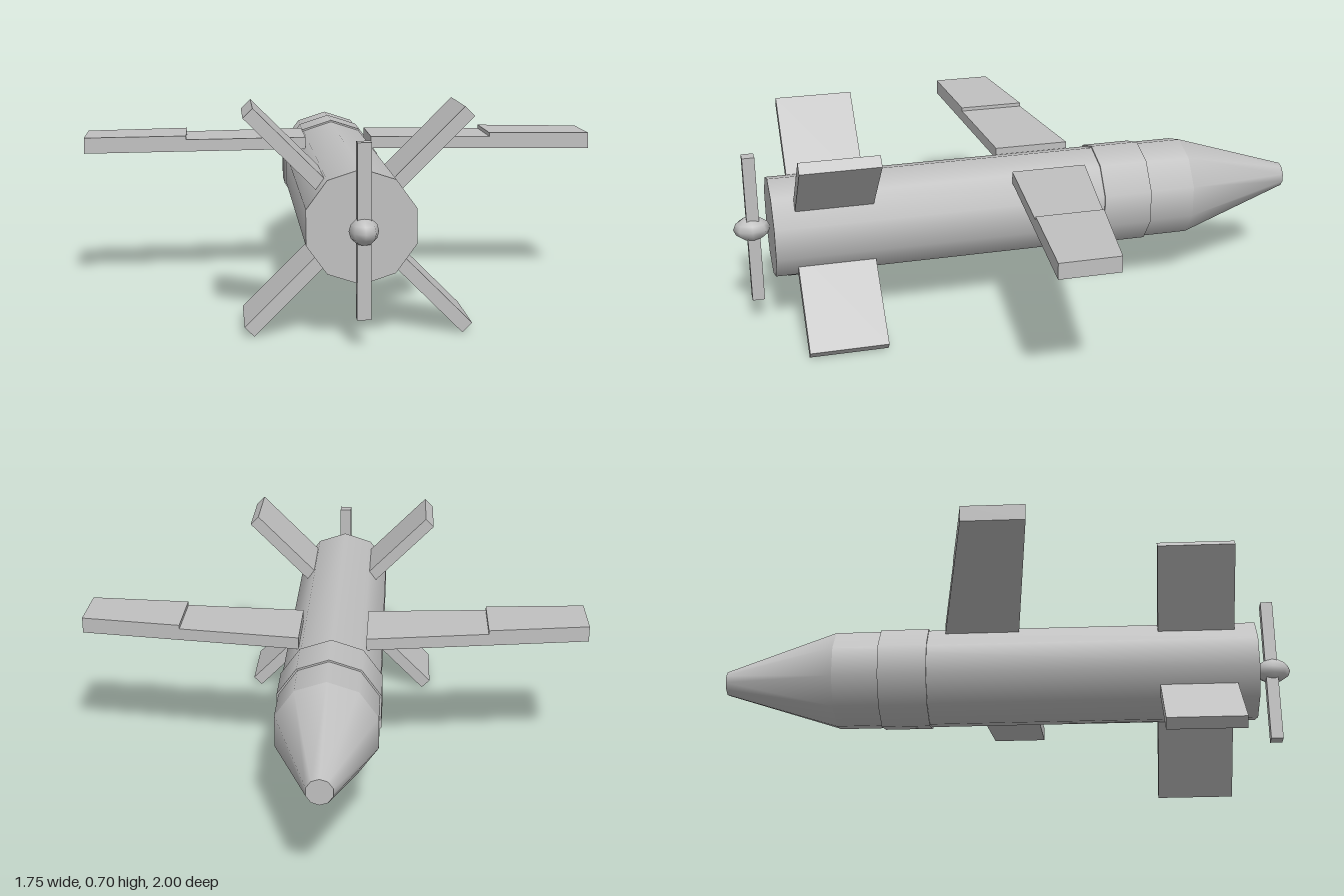
import * as THREE from 'three';

const AXIS_Y = 0.35; // height of the fuselage centreline
const SIDES = 10;

export function createModel() {
  const model = new THREE.Group();
  model.name = 'wingedCraft';
  const grey = new THREE.MeshStandardMaterial({ color: 0xc0c0c0 });
  grey.name = 'plain grey';

  const add = (name, geometry, x = 0, y = 0, z = 0) => {
    const mesh = new THREE.Mesh(geometry, grey);
    mesh.name = name;
    mesh.position.set(x, y, z);
    model.add(mesh);
    return mesh;
  };

  // Ten-sided section along z, smooth around, with capped ends
  const section = (name, zBack, zFront, rBack, rFront) => {
    const g = new THREE.CylinderGeometry(rFront, rBack, zFront - zBack, SIDES);
    g.rotateX(Math.PI / 2);
    return add(name, g, 0, AXIS_Y, (zBack + zFront) / 2);
  };

  // Fuselage
  section('fuselage', -0.6, 0.875, 0.175, 0.175);
  section('fuselageBand', -0.44, -0.27, 0.181, 0.181);
  section('taperedNose', -1, -0.6, 0.043, 0.175);

  // Wing panel: tapered plan between two stations, with flat top and bottom
  const ROOT = 0.115, STEP = 0.53, TIP = 0.877;
  const leading = (x) => THREE.MathUtils.mapLinear(x, ROOT, TIP, -0.21, -0.095);
  const trailing = (x) => THREE.MathUtils.mapLinear(x, ROOT, TIP, 0.05, 0.107);
  const wingPanel = (name, side, x0, x1, thickness) => {
    const plan = new THREE.Shape([
      new THREE.Vector2(side * x0, -leading(x0)),
      new THREE.Vector2(side * x1, -leading(x1)),
      new THREE.Vector2(side * x1, -trailing(x1)),
      new THREE.Vector2(side * x0, -trailing(x0)),
    ]);
    const g = new THREE.ExtrudeGeometry(plan, { depth: thickness, bevelEnabled: false });
    g.rotateX(-Math.PI / 2);
    add(name, g, 0, 0.47, 0);
  };
  for (const [label, side] of [['left', 1], ['right', -1]]) {
    wingPanel(label + 'InnerWing', side, ROOT, STEP, 0.041);
    wingPanel(label + 'OuterWing', side, STEP, TIP, 0.054);
  }

  // Four diagonal tail fins
  for (let i = 0; i < 4; i++) {
    const g = new THREE.BoxGeometry(0.372, 0.042, 0.265);
    g.translate(0.286, 0, 0);
    add('tailFin' + (i + 1), g, 0, AXIS_Y, 0.6675).rotation.z = Math.PI / 4 + i * Math.PI / 2;
  }

  // Propeller with an egg-shaped hub
  add('propellerBlade', new THREE.BoxGeometry(0.042, 0.527, 0.042), 0, AXIS_Y, 0.933);
  const hub = add('propellerHub', new THREE.SphereGeometry(1, 8, 6), 0, AXIS_Y, 0.937);
  hub.scale.set(0.045, 0.042, 0.063);

  return model;
}
